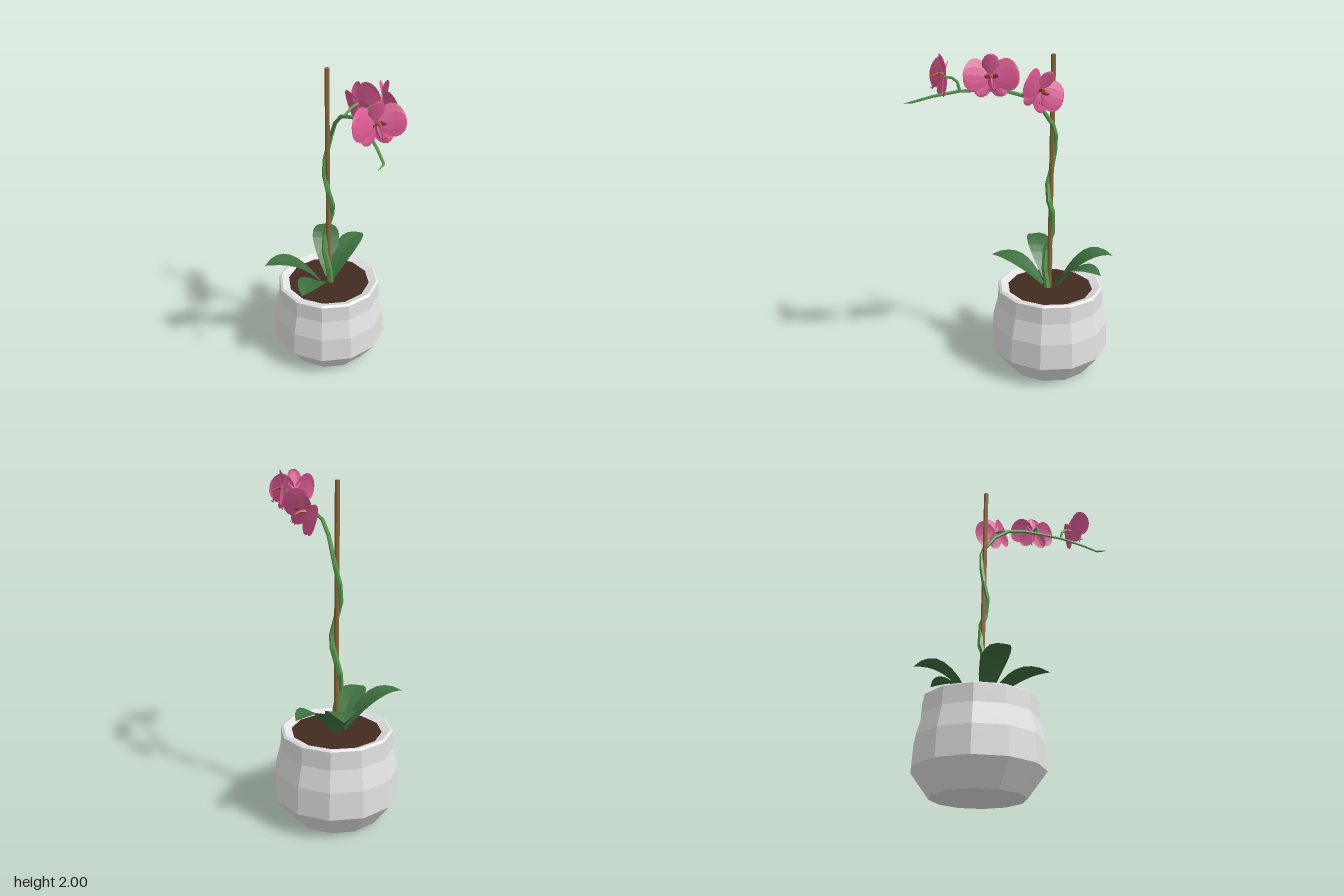
import * as THREE from 'three';

const mat = (name, color, side = THREE.FrontSide) => {
  const m = new THREE.MeshStandardMaterial({ color, side });
  m.name = name;
  return m;
};

// Faceted grid surface from f(u, v) -> [x, y, z]
function surface(nu, nv, f) {
  const pos = [], idx = [];
  for (let i = 0; i <= nu; i++)
    for (let j = 0; j <= nv; j++) pos.push(...f(i / nu, j / nv));
  for (let i = 0; i < nu; i++)
    for (let j = 0; j < nv; j++) {
      const a = i * (nv + 1) + j, b = a + nv + 1;
      idx.push(a, b, a + 1, b, b + 1, a + 1);
    }
  const g = new THREE.BufferGeometry();
  g.setAttribute('position', new THREE.Float32BufferAttribute(pos, 3));
  g.setIndex(idx);
  return facet(g);
}

function facet(g) {
  const flat = g.index ? g.toNonIndexed() : g;
  flat.computeVertexNormals();
  return flat;
}

// Tapered tube along a polyline; ref must not be parallel to the path
function taperedTube(points, r0, r1, ref, sides = 6) {
  const p = points.map((a) => new THREE.Vector3(...a));
  const n = p.length - 1;
  return surface(n, sides, (u, v) => {
    const i = Math.round(u * n);
    const t = p[Math.min(i + 1, n)].clone().sub(p[Math.max(i - 1, 0)]).normalize();
    const a = t.clone().cross(ref).normalize();
    const b = t.clone().cross(a);
    const r = r0 + (r1 - r0) * u, w = v * Math.PI * 2;
    return p[i].clone().addScaledVector(a, r * Math.cos(w)).addScaledVector(b, -r * Math.sin(w)).toArray();
  });
}

// Rounded petal lying along +x, cupped towards +z with a domed middle;
// lean moves its +y edge back and its -y edge forward
function petalGeometry(length, halfWidth, cup, skew = 0.85, lean = 0) {
  return surface(8, 4, (u, v) => {
    const t = Math.pow((1 - Math.cos(Math.PI * u)) / 2, skew);
    const s = v * 2 - 1, bulge = Math.sin(Math.PI * u);
    const w = halfWidth * bulge * s;
    return [length * t, w, cup * t * t + 0.012 * (1 - s * s) * bulge - lean * w];
  });
}

// Arching leaf along +x with a shallow fold at the midrib
function leafGeometry(length, halfWidth, rise) {
  return surface(8, 4, (t, v) => {
    const s = v * 2 - 1;
    const w = halfWidth * Math.pow(Math.max(Math.sin(Math.PI * Math.pow(t, 1.12)), 0), 0.75) + 0.016 * (1 - t);
    const y = rise * (1 - Math.pow(1 - t / 0.78, 2));
    return [length * t, y + 0.14 * w * Math.abs(s), -w * s];
  });
}

export function createModel() {
  const model = new THREE.Group();
  const X = new THREE.Vector3(1, 0, 0), Y = new THREE.Vector3(0, 1, 0), Z = new THREE.Vector3(0, 0, 1);
  const ceramic = mat('pale grey ceramic', 0xe2e2e2);
  const earth = mat('dark brown soil', 0x432a20);
  const wood = mat('brown wood', 0x8a683a);
  const stemGreen = mat('stem green', 0x58994f);
  const leafGreen = mat('leaf green', 0x3f7040, THREE.DoubleSide);
  const pink = mat('petal pink', 0xdb5a92, THREE.DoubleSide);
  const magenta = mat('lip magenta', 0xa52f66, THREE.DoubleSide);
  const amber = mat('column amber', 0xb0642f);

  const add = (parent, name, geometry, material) => {
    const m = new THREE.Mesh(geometry, material);
    m.name = name;
    parent.add(m);
    return m;
  };
  const CX = 0.022, CZ = -0.243;

  // Twelve-sided pot with a sloping inner rim
  const profile = [[0, 0], [0.264, 0], [0.371, 0.143], [0.364, 0.305], [0.333, 0.43], [0.33, 0.535], [0.315, 0.545], [0.25, 0.52]]
    .map(([r, y]) => new THREE.Vector2(r, y));
  add(model, 'pot', facet(new THREE.LatheGeometry(profile, 12)), ceramic).position.set(CX, 0, CZ);
  const soil = add(model, 'soil', new THREE.CircleGeometry(0.266, 12), earth);
  soil.rotation.x = -Math.PI / 2;
  soil.position.set(CX, 0.526, CZ);

  // Support stake
  add(model, 'stake', facet(new THREE.CylinderGeometry(0.015, 0.015, 1.44, 8)), wood).position.set(CX, 1.24, CZ + 0.004);

  // Flower stem winding round the stake and arching forward
  add(model, 'stem', taperedTube([
    [0.03, 0.52, -0.225], [0.01, 0.65, -0.21], [-0.011, 0.77, -0.225], [0.01, 0.88, -0.258],
    [0.046, 1.03, -0.24], [0.042, 1.1, -0.217], [0.015, 1.2, -0.218], [0.003, 1.3, -0.25],
    [0.015, 1.4, -0.262], [0.04, 1.5, -0.255], [0.045, 1.56, -0.235], [0.04, 1.66, -0.165],
    [0.036, 1.735, -0.07], [0.044, 1.773, 0.05], [0.045, 1.785, 0.15], [0.025, 1.785, 0.31],
    [0.002, 1.76, 0.46], [-0.016, 1.732, 0.57],
  ], 0.021, 0.007, X), stemGreen);
  add(model, 'stemTip', taperedTube([[-0.015, 1.733, 0.567], [-0.04, 1.725, 0.585], [-0.066, 1.72, 0.604]], 0.007, 0.001, Y), stemGreen);

  // Leaves: base x, base z, tip x, tip z, half width, rise
  [
    [-0.03, -0.248, -0.395, -0.282, 0.07, 0.215],
    [-0.025, -0.215, -0.27, 0.045, 0.077, 0.155],
    [0.035, -0.285, 0.143, -0.61, 0.082, 0.225],
    [0.05, -0.253, 0.35, -0.43, 0.07, 0.2],
  ].forEach(([bx, bz, tx, tz, halfWidth, rise]) => {
    const leaf = add(model, 'leaf', leafGeometry(Math.hypot(tx - bx, tz - bz), halfWidth, rise), leafGreen);
    leaf.position.set(bx, 0.525, bz);
    leaf.rotation.y = -Math.atan2(tz - bz, tx - bx);
  });

  // One bloom, facing +z
  const wings = [[8, 0.24], [172, -0.24]].map(([deg, lean]) => [deg, petalGeometry(0.15, 0.084, 0.04, 0.75, lean)]);
  const sepal = petalGeometry(0.122, 0.046, 0.028);
  const lobe = petalGeometry(0.038, 0.014, 0.028);
  const lip = petalGeometry(0.05, 0.016, 0.05);
  const column = taperedTube([[0, 0.008, 0], [0, 0.014, 0.04], [0, 0.002, 0.068]], 0.012, 0.006, X, 5);
  function bloom() {
    const g = new THREE.Group();
    const place = (name, geo, material, deg, z) => {
      const m = add(g, name, geo, material);
      m.rotation.z = THREE.MathUtils.degToRad(deg);
      m.position.z = z;
    };
    wings.forEach(([deg, geo]) => place('petal', geo, pink, deg, 0));
    [90, -52, -128].forEach((d) => place('sepal', sepal, pink, d, -0.006));
    [20, 160].forEach((d) => place('lipSideLobe', lobe, magenta, d, 0.016));
    place('lip', lip, magenta, -90, 0.016);
    add(g, 'column', column, amber);
    // Curled tendrils at the end of the lip
    [-1, 1].forEach((s) => add(g, 'tendril', taperedTube(
      [[0, -0.046, 0.058], [s * 0.012, -0.06, 0.066], [s * 0.02, -0.053, 0.075]], 0.004, 0.0015, Z, 4), magenta));
    return g;
  }

  // Blooms placed by facing direction and sideways axis, each with its stalk
  [
    { at: [0.021, 1.868, 0.395], face: [0, 0, 1], across: [1, 0, 0], ref: X,
      stalk: [[0.024, 1.785, 0.31], [0.022, 1.835, 0.322], [0.021, 1.858, 0.35], [0.021, 1.866, 0.398]] },
    { at: [0.17, 1.877, 0.18], face: [0.98, 0, 0.2], across: [0.2, 0, -0.98], ref: Z,
      stalk: [[0.045, 1.785, 0.15], [0.06, 1.835, 0.155], [0.1, 1.865, 0.165], [0.172, 1.877, 0.18]] },
    { at: [0.155, 1.782, -0.105], face: [0.94, -0.13, -0.21], across: [-0.082, -0.15, -0.247], ref: Y,
      stalk: [[0.038, 1.745, -0.035], [0.07, 1.752, -0.065], [0.11, 1.77, -0.09], [0.157, 1.782, -0.105]] },
  ].forEach(({ at, face, across, ref, stalk }) => {
    const z = new THREE.Vector3(...face).normalize();
    const y = z.clone().cross(new THREE.Vector3(...across)).normalize();
    const x = y.clone().cross(z);
    const g = bloom();
    g.name = 'flower';
    g.quaternion.setFromRotationMatrix(new THREE.Matrix4().makeBasis(x, y, z));
    g.position.set(...at);
    model.add(g);
    add(model, 'flowerStalk', taperedTube(stalk, 0.009, 0.007, ref), stemGreen);
  });

  return model;
}
